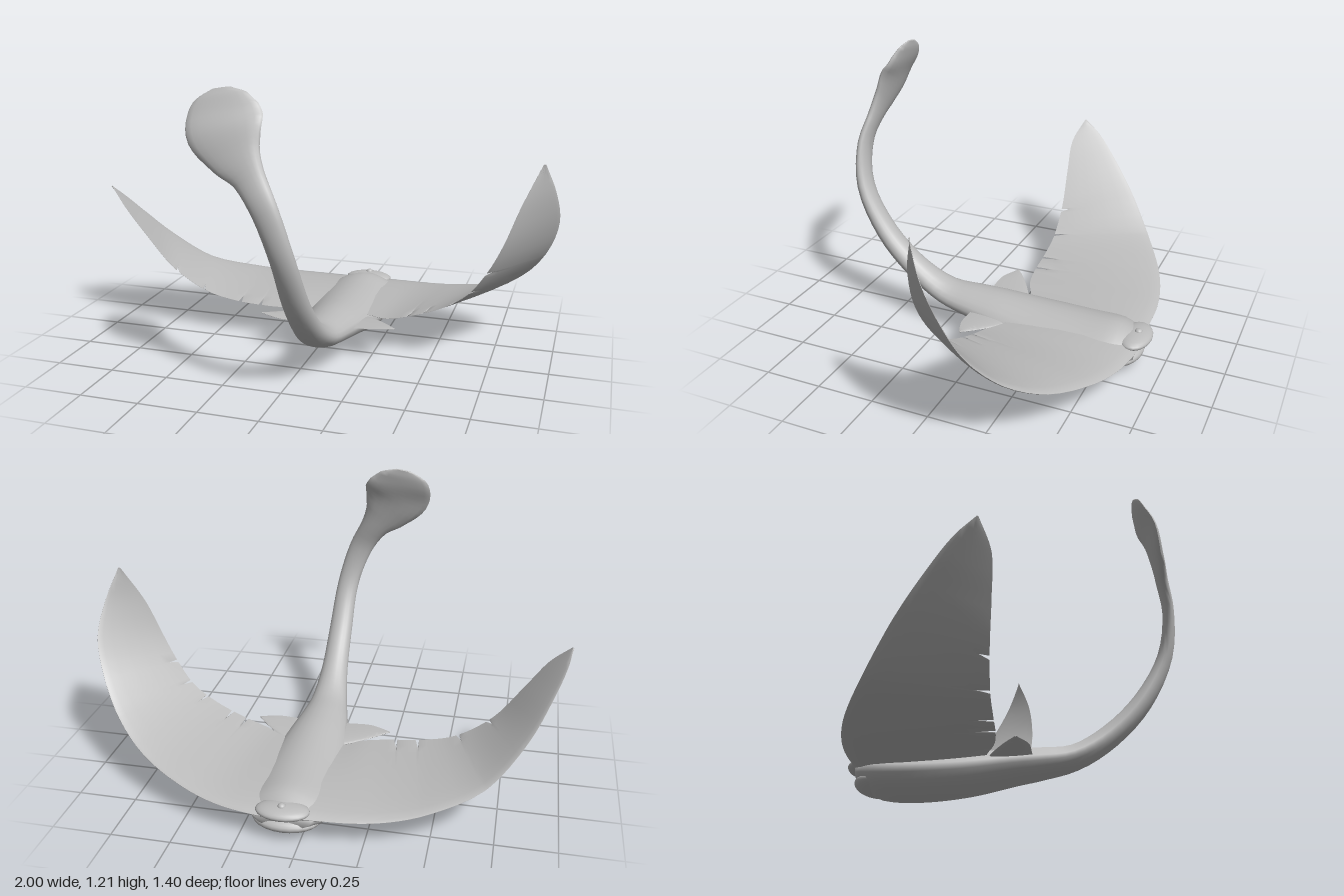
import * as THREE from 'three';
import { toCreasedNormals } from 'three/addons/utils/BufferGeometryUtils.js';

const V = (x, y, z) => new THREE.Vector3(x, y, z);
const curve = pts => new THREE.CatmullRomCurve3(pts.map(p => V(...p)), false, 'centripetal');

// Closed skin through rings of equal length, with fan caps, wound outwards
function loft(rings, crease) {
  const n = rings[0].length, pts = rings.flat(), idx = [];
  for (let i = 0; i < rings.length - 1; i++) {
    for (let j = 0; j < n; j++) {
      const a = i * n + j, b = i * n + (j + 1) % n;
      idx.push(a, b, a + n, b, b + n, a + n);
    }
  }
  const last = (rings.length - 1) * n;
  for (let j = 1; j < n - 1; j++) idx.push(0, j + 1, j, last, last + j, last + j + 1);
  let volume = 0;
  for (let i = 0; i < idx.length; i += 3) {
    volume += pts[idx[i]].dot(pts[idx[i + 1]].clone().cross(pts[idx[i + 2]]));
  }
  if (volume < 0) idx.reverse();
  const g = new THREE.BufferGeometry().setFromPoints(pts);
  g.setIndex(idx);
  return toCreasedNormals(g, crease);
}

// Thin blade between a leading and a trailing edge; notches slit the trailing edge
const CHORD = [0, 0.02, 0.08, 0.2, 0.4, 0.6, 0.8, 0.9, 1];
function blade(lead, trail, thick, notches = []) {
  const L = curve(lead), T = curve(trail);
  const ts = Array.from({ length: 37 }, (_, i) => i / 36)
    .filter(t => notches.every(k => Math.abs(k - t) > 0.008));
  notches.forEach(k => ts.push(k - 0.006, k, k + 0.004));
  ts.sort((a, b) => a - b);
  const rings = ts.map(t => {
    const a = L.getPoint(t), b = T.getPoint(t);
    const span = L.getTangent(t).add(T.getTangent(t));
    const normal = b.clone().sub(a).cross(span).normalize();
    const half = thick * (1 - t) ** 1.5 + 0.002;
    const at = (c, side) => {
      const h = half * 2.4 * Math.sqrt(c) * (1 - c) + 0.0005;
      const cut = notches.includes(t) && c > 0.8 ? 0.8 + (c - 0.8) * 0.45 : c;
      return a.clone().lerp(b, cut).addScaledVector(normal, side * h);
    };
    return [...CHORD.map(c => at(c, 1)), ...CHORD.slice().reverse().map(c => at(c, -1))];
  });
  return loft(rings, 0.8);
}

// Body and tail stations: x, y, z, half width, half height
const SPINE = [
  [0.07, 0.105, -0.64, 0.12, 0.05], [0.07, 0.095, -0.55, 0.18, 0.085],
  [0.07, 0.09, -0.4, 0.19, 0.09], [0.07, 0.1, -0.2, 0.17, 0.085],
  [0.07, 0.125, 0, 0.135, 0.072], [0.07, 0.135, 0.1, 0.115, 0.065],
  [0.075, 0.16, 0.25, 0.085, 0.052], [0.08, 0.25, 0.4, 0.063, 0.048],
  [0.08, 0.4, 0.545, 0.055, 0.042], [0.065, 0.6, 0.65, 0.05, 0.032],
  [0.01, 0.78, 0.673, 0.054, 0.025], [-0.06, 0.9, 0.65, 0.066, 0.025],
  [-0.12, 0.98, 0.63, 0.11, 0.025], [-0.165, 1.06, 0.605, 0.15, 0.024],
  [-0.19, 1.13, 0.57, 0.14, 0.018], [-0.2, 1.18, 0.55, 0.1, 0.012],
  [-0.205, 1.207, 0.54, 0.035, 0.004],
];
function bodyGeometry() {
  const path = curve(SPINE.map(s => s.slice(0, 3)));
  const size = new THREE.CatmullRomCurve3(SPINE.map(s => V(s[3], s[4], 0)), false, 'catmullrom', 0.5);
  const steps = (SPINE.length - 1) * 4, rings = [];
  for (let i = 0; i <= steps; i++) {
    const t = i / steps, c = path.getPoint(t), s = size.getPoint(t);
    const dir = path.getTangent(t);
    const side = V(1, 0, 0).addScaledVector(dir, -dir.x).normalize();
    const up = dir.clone().cross(side);
    const taper = 0.4 * THREE.MathUtils.clamp(1 - t * 2, 0, 1);
    rings.push(Array.from({ length: 20 }, (_, j) => {
      const a = j / 20 * Math.PI * 2, sn = Math.sin(a);
      return c.clone()
        .addScaledVector(side, Math.cos(a) * s.x * (1 - taper * Math.max(0, sn)))
        .addScaledVector(up, sn * s.y);
    }));
  }
  return loft(rings, 1.2);
}

export function createModel() {
  const group = new THREE.Group();
  const grey = new THREE.MeshStandardMaterial({ color: 0xbcbcbc });
  grey.name = 'plainGrey';
  const add = (name, geometry) => {
    const m = new THREE.Mesh(geometry, grey);
    m.name = name;
    group.add(m);
    return m;
  };
  const blob = (name, pos, scale) => {
    const m = add(name, new THREE.SphereGeometry(1, 24, 14));
    m.position.set(...pos);
    m.scale.set(...scale);
  };

  add('bodyAndTail', bodyGeometry());

  // Head: upper lip, lower jaw and a small knob on top
  blob('upperLip', [0.07, 0.133, -0.63], [0.11, 0.028, 0.068]);
  blob('lowerJaw', [0.07, 0.062, -0.57], [0.14, 0.04, 0.095]);
  blob('headKnob', [0.07, 0.158, -0.64], [0.016, 0.013, 0.016]);

  // Wings, each in its own pose
  add('leftWing', blade(
    [[0.07, 0.11, -0.66], [0.2, 0.115, -0.655], [0.35, 0.125, -0.63], [0.5, 0.15, -0.58], [0.7, 0.21, -0.48],
      [0.85, 0.31, -0.37], [0.95, 0.45, -0.27], [0.995, 0.6, -0.2], [0.98, 0.74, -0.12], [0.935, 0.87, -0.06]],
    [[0.07, 0.13, -0.1], [0.2, 0.14, -0.09], [0.3, 0.15, -0.04], [0.42, 0.185, -0.025], [0.55, 0.24, -0.01],
      [0.65, 0.31, 0], [0.73, 0.42, 0.015], [0.79, 0.54, 0.02], [0.85, 0.7, 0], [0.925, 0.87, -0.06]],
    0.032, [0.31, 0.37, 0.48, 0.57, 0.66]));
  add('rightWing', blade(
    [[0.07, 0.11, -0.66], [-0.05, 0.115, -0.65], [-0.2, 0.12, -0.645], [-0.35, 0.13, -0.62], [-0.5, 0.155, -0.57],
      [-0.7, 0.22, -0.46], [-0.85, 0.37, -0.32], [-0.93, 0.5, -0.2], [-0.98, 0.6, -0.1], [-1, 0.66, -0.02]],
    [[0.07, 0.13, -0.1], [-0.06, 0.135, -0.1], [-0.15, 0.145, -0.06], [-0.25, 0.15, -0.04], [-0.42, 0.165, -0.03],
      [-0.55, 0.2, -0.025], [-0.7, 0.3, -0.01], [-0.82, 0.45, 0.01], [-0.91, 0.57, 0.02], [-0.995, 0.66, -0.015]],
    0.032, [0.36, 0.42, 0.56, 0.65]));

  // Small fins at the tail root
  add('leftFin', blade(
    [[0.1, 0.12, -0.11], [0.2, 0.13, -0.09], [0.3, 0.14, -0.01], [0.355, 0.145, 0.05]],
    [[0.1, 0.135, 0.09], [0.19, 0.14, 0.085], [0.28, 0.145, 0.08], [0.355, 0.145, 0.055]], 0.012));
  add('rightFin', blade(
    [[0.04, 0.12, -0.11], [-0.06, 0.13, -0.09], [-0.18, 0.14, -0.02], [-0.25, 0.145, 0.035]],
    [[0.04, 0.135, 0.09], [-0.05, 0.14, 0.085], [-0.16, 0.145, 0.08], [-0.25, 0.145, 0.04]], 0.012));

  return group;
}
